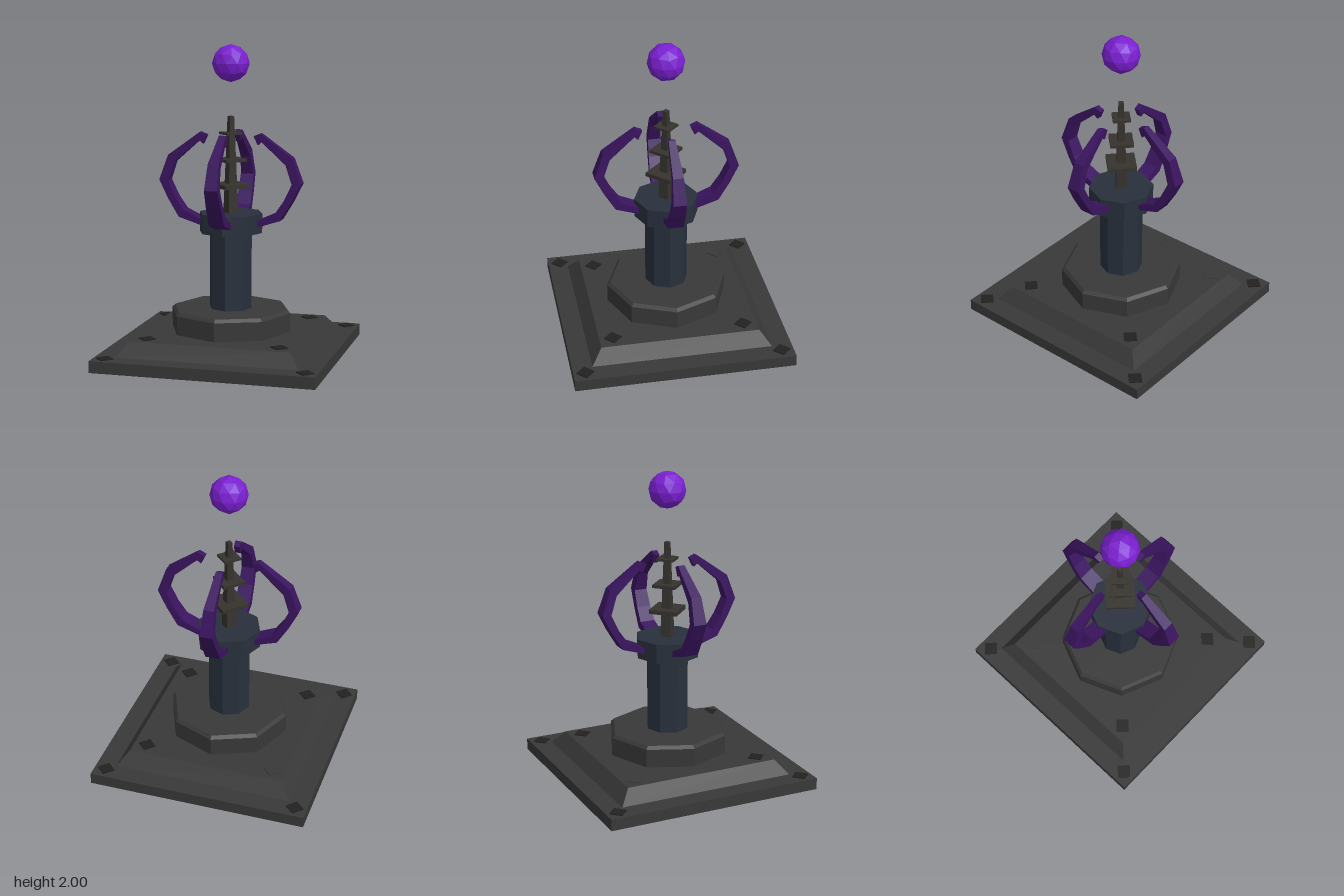
import * as THREE from 'three';

const mat = (color) => new THREE.MeshStandardMaterial({ color, flatShading: true });

// Sharp tapered prism; its corners lie on the x and z axes unless turned
function prism(name, sides, rBottom, rTop, y0, y1, material, turn = 0) {
  const geo = new THREE.CylinderGeometry(rTop, rBottom, y1 - y0, sides).toNonIndexed();
  geo.rotateY(turn);
  geo.translate(0, (y0 + y1) / 2, 0);
  geo.computeVertexNormals();
  const mesh = new THREE.Mesh(geo, material);
  mesh.name = name;
  return mesh;
}

// Curved claw: rectangular cross-sections [outer x, outer y, inner x, inner y, half width]
function clawGeometry() {
  const stations = [
    [0.18, 0.84, 0.18, 0.88, 0.052],
    [0.335, 0.89, 0.302, 0.935, 0.05],
    [0.408, 1.01, 0.36, 1.02, 0.047],
    [0.467, 1.127, 0.408, 1.123, 0.043],
    [0.41, 1.287, 0.366, 1.245, 0.034],
    [0.2, 1.44, 0.205, 1.387, 0.022],
    [0.154, 1.422, 0.18, 1.365, 0.018],
  ];
  const rings = stations.map(([ox, oy, ix, iy, w]) => [
    [ox, oy, w], [ox, oy, -w], [ix, iy, -w], [ix, iy, w],
  ]);
  const pos = [];
  const quad = (a, b, c, d) => pos.push(...a, ...b, ...c, ...a, ...c, ...d);
  for (let i = 0; i < rings.length - 1; i++) {
    for (let k = 0; k < 4; k++) {
      const n = (k + 1) % 4;
      quad(rings[i][k], rings[i][n], rings[i + 1][n], rings[i + 1][k]);
    }
  }
  quad(...rings[0].slice().reverse());
  quad(...rings[rings.length - 1]);
  const geo = new THREE.BufferGeometry();
  geo.setAttribute('position', new THREE.Float32BufferAttribute(pos, 3));
  geo.computeVertexNormals();
  return geo;
}

export function createModel() {
  const model = new THREE.Group();
  model.name = 'orbTower';
  const stone = mat(0x383838);
  const darkStone = mat(0x222120);
  const slate = mat(0x28303c);
  const metal = mat(0x36332e);
  const clawPurple = mat(0x3a145f);
  const orbPurple = mat(0x7a1fd0);

  // Square stepped base and octagonal plinth
  const q = Math.PI / 4;
  model.add(prism('baseSlab', 4, 0.715 * Math.SQRT2, 0.715 * Math.SQRT2, 0, 0.075, stone, q));
  model.add(prism('baseStep', 4, 0.585 * Math.SQRT2, 0.515 * Math.SQRT2, 0.075, 0.165, stone, q));
  model.add(prism('plinth', 8, 0.395, 0.395, 0.165, 0.285, stone));
  model.add(prism('plinthBevel', 8, 0.395, 0.375, 0.285, 0.305, stone));

  // Diamond studs at the corners of both base levels
  for (const [d, y] of [[0.637, 0.075], [0.427, 0.165]]) {
    for (const sx of [-1, 1]) {
      for (const sz of [-1, 1]) {
        const plain = d < 0.5 && sx < 0 && sz < 0;
        const stud = prism('stud', 4, 0.058, 0.058, y - 0.005, y + 0.006, plain ? stone : darkStone);
        stud.position.set(sx * d, 0, sz * d);
        model.add(stud);
      }
    }
  }

  // Column and collar
  model.add(prism('column', 8, 0.139, 0.139, 0.305, 0.8, slate));
  model.add(prism('collar', 8, 0.208, 0.208, 0.8, 0.925, slate));

  // Spire with three diamond plates
  model.add(prism('spire', 4, 0.05, 0.022, 0.925, 1.545, metal));
  for (const [y, r, h] of [[1.1, 0.131, 0.026], [1.265, 0.106, 0.02], [1.435, 0.08, 0.014]]) {
    model.add(prism('spirePlate', 4, r, r, y - h / 2, y + h / 2, metal));
  }

  // Four claws around the spire
  const clawGeo = clawGeometry();
  for (let i = 0; i < 4; i++) {
    const claw = new THREE.Mesh(clawGeo, clawPurple);
    claw.name = 'claw';
    claw.rotation.y = (i * Math.PI) / 2;
    model.add(claw);
  }

  // Floating faceted orb, one corner pointing straight up
  const orbGeo = new THREE.IcosahedronGeometry(0.12, 1);
  orbGeo.rotateX(-Math.atan((1 + Math.sqrt(5)) / 2));
  orbGeo.rotateY(Math.PI / 2);
  const orb = new THREE.Mesh(orbGeo, orbPurple);
  orb.name = 'orb';
  orb.position.y = 1.88;
  model.add(orb);

  return model;
}
